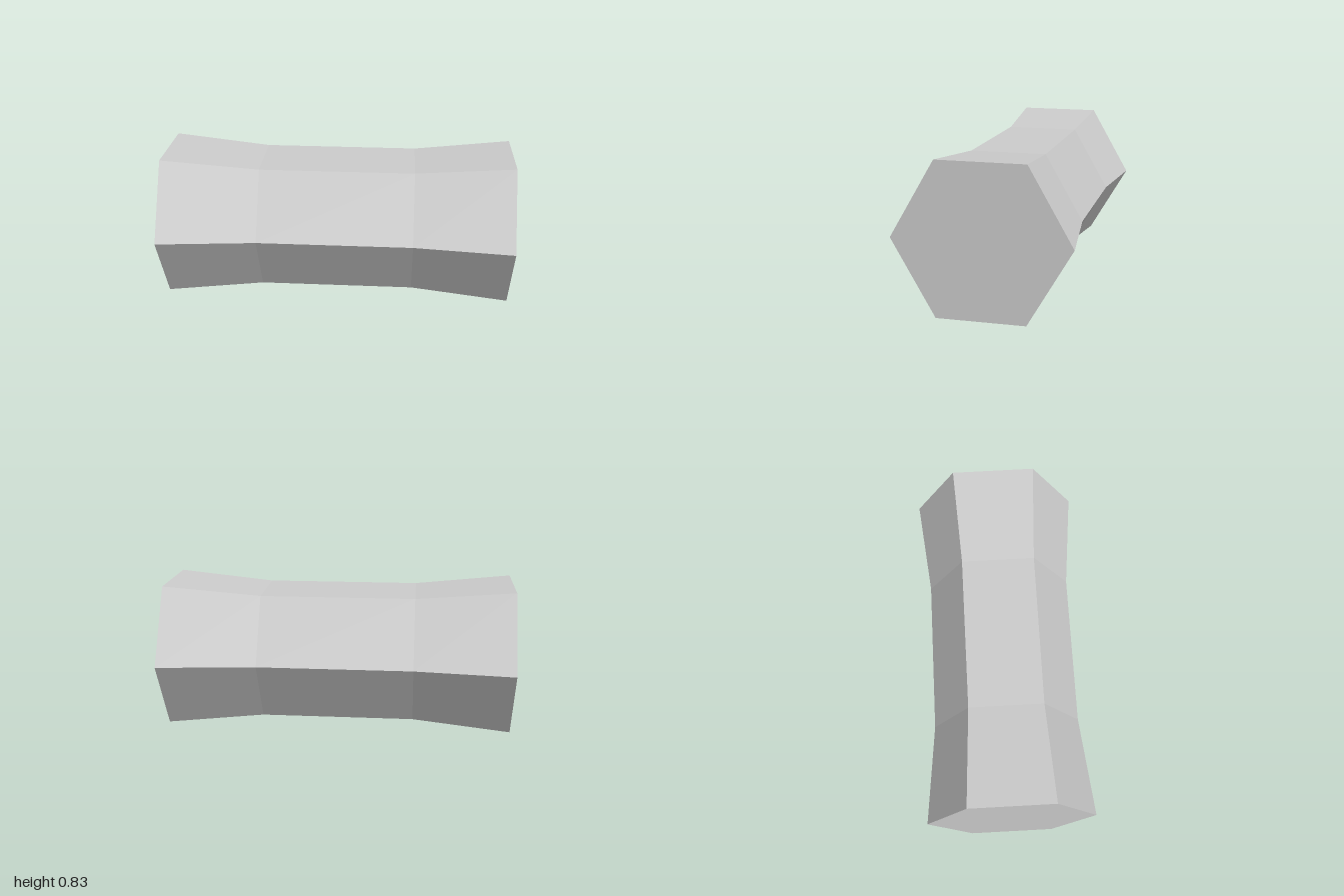
import * as THREE from 'three';

export function createModel() {
  const group = new THREE.Group();
  const material = new THREE.MeshStandardMaterial({ color: 0xcccccc, flatShading: true });

  // Half-profile of the bar: closed ends, flared towards a narrower waist
  const endRadius = 0.475, waistRadius = 0.416, waistHalf = 0.44;
  const profile = [
    [0, -1], [endRadius, -1], [waistRadius, -waistHalf],
    [waistRadius, waistHalf], [endRadius, 1], [0, 1],
  ].map(([r, y]) => new THREE.Vector2(r, y));

  // Six-sided body laid along x, with a slight roll about its axis
  const geometry = new THREE.LatheGeometry(profile, 6);
  geometry.rotateZ(-Math.PI / 2);
  geometry.rotateX(-0.0075);

  const body = new THREE.Mesh(geometry, material);
  body.name = 'hexagonalBar';
  body.position.y = 0.413;
  group.add(body);
  return group;
}
